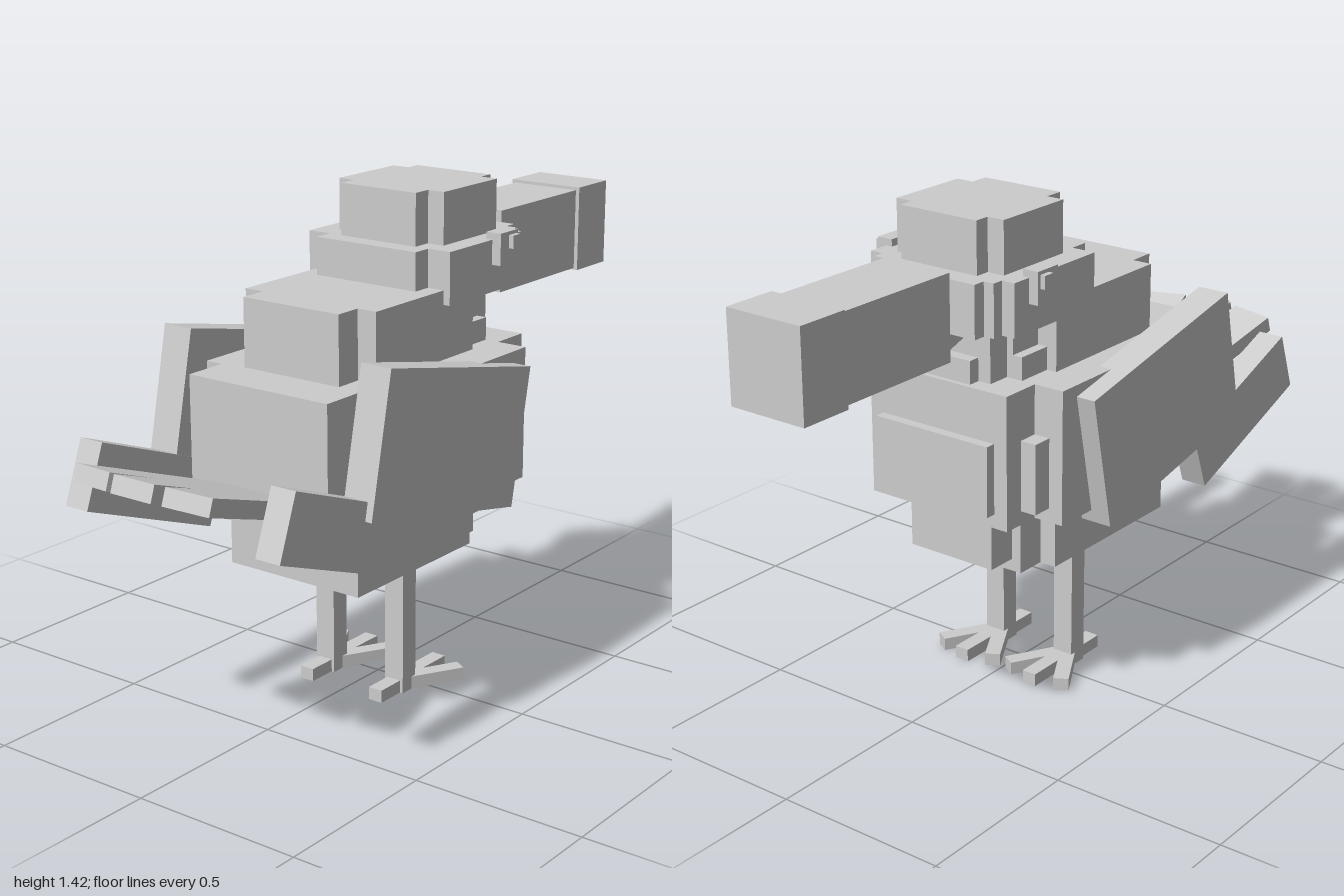
import * as THREE from 'three';

export function createModel() {
  const model = new THREE.Group();
  model.name = 'blockBird';
  const grey = new THREE.MeshStandardMaterial({ color: 0xcccccc, flatShading: true });
  grey.name = 'light grey';

  // Box from its limits on each axis
  function block(name, x0, x1, y0, y1, z0, z1, parent = model) {
    const mesh = new THREE.Mesh(new THREE.BoxGeometry(x1 - x0, y1 - y0, z1 - z0), grey);
    mesh.position.set((x0 + x1) / 2, (y0 + y1) / 2, (z0 + z1) / 2);
    mesh.name = name;
    parent.add(mesh);
    return mesh;
  }
  // Box centred on x = 0 with half width w
  const centred = (name, w, y0, y1, z0, z1) => block(name, -w, w, y0, y1, z0, z1);
  // Box placed by its centre, pitched so that its +z end rises
  function tilted(name, size, pos, degrees) {
    const mesh = new THREE.Mesh(new THREE.BoxGeometry(...size), grey);
    mesh.position.set(...pos);
    mesh.rotation.x = -THREE.MathUtils.degToRad(degrees);
    mesh.name = name;
    model.add(mesh);
  }

  // Lower body
  centred('belly', 0.22, 0.4, 0.6, -0.14, 0.38);
  centred('bellyFront', 0.17, 0.4, 0.6, -0.23, 0);
  centred('bellyPlate', 0.14, 0.435, 0.6, -0.32, 0);

  // Middle body
  centred('bodyCore', 0.232, 0.59, 0.97, -0.37, 0.52);
  centred('bodySides', 0.323, 0.59, 0.97, -0.25, 0.39);
  centred('chestPlate', 0.19, 0.63, 0.83, -0.4, -0.3);
  centred('chestStrips', 0.28, 0.63, 0.83, -0.31, -0.2);

  // Upper body
  centred('shoulders', 0.22, 0.96, 1.163, -0.14, 0.3);
  centred('shoulderBack', 0.16, 0.96, 1.163, -0.25, 0.38);
  centred('neck', 0.14, 0.96, 1.14, -0.32, 0);
  centred('collar', 0.19, 0.96, 1.035, -0.25, 0);
  centred('collarFront', 0.1, 0.96, 1.035, -0.355, 0);

  // Head and crown
  centred('headCore', 0.168, 1.123, 1.27, -0.418, 0.057);
  centred('headMiddle', 0.2, 1.123, 1.27, -0.38, 0);
  centred('headSides', 0.24, 1.123, 1.27, -0.347, 0);
  centred('crownCore', 0.126, 1.26, 1.416, -0.355, 0);
  centred('crownSides', 0.178, 1.26, 1.416, -0.31, -0.057);

  // Beak with a flared root and a thicker tip
  const root = centred('beakRoot', 0.08, 1.065, 1.24, -0.445, -0.34);
  const p = root.geometry.attributes.position;
  for (let i = 0; i < p.count; i++) if (p.getZ(i) > 0) p.setY(i, p.getY(i) * 0.6);
  root.geometry.computeVertexNormals();
  centred('beak', 0.108, 1.058, 1.297, -0.85, -0.443);
  centred('beakTip', 0.12, 1.053, 1.306, -1, -0.845);

  // Tail of three spread feathers
  const tail = new THREE.Group();
  tail.name = 'tail';
  tail.position.set(0, 0.632, 0.5);
  tail.rotation.x = -THREE.MathUtils.degToRad(19);
  model.add(tail);
  for (const side of [-1, 0, 1]) {
    const feather = new THREE.Group();
    feather.name = 'tailFeather';
    feather.position.x = side * 0.067;
    feather.rotation.y = side * 0.18;
    tail.add(feather);
    block('featherBlade', -0.067, 0.067, 0, 0.048, -0.1, side ? 0.51 : 0.525, feather);
  }

  for (const s of [-1, 1]) {
    const label = s > 0 ? 'left' : 'right';
    const sided = (name, x0, x1, ...rest) =>
      block(label + name, Math.min(s * x0, s * x1), Math.max(s * x0, s * x1), ...rest);

    // Eyes
    sided('Eye', 0.22, 0.268, 1.2, 1.29, -0.285, -0.2);
    sided('Pupil', 0.26, 0.283, 1.243, 1.28, -0.275, -0.24);

    // Wings
    tilted(label + 'Wing', [0.094, 0.393, 0.652], [s * 0.333, 0.8125, 0.171], 11.9);
    tilted(label + 'WingTip', [0.077, 0.182, 0.5], [s * 0.321, 0.67, 0.6], 20.5);

    // Legs and feet
    sided('Leg', 0.092, 0.155, 0, 0.42, 0.03, 0.09);
    const foot = new THREE.Group();
    foot.name = label + 'Foot';
    foot.position.set(s * 0.123, 0, 0.06);
    model.add(foot);
    block('backToe', -0.022, 0.022, 0, 0.037, 0, 0.117, foot);
    for (const spread of [-1, 0, 1]) {
      const toe = block('frontToe', -0.022, 0.022, 0, 0.037, -0.19, 0, foot);
      toe.geometry.translate(0, 0, -0.095);
      toe.position.z = 0;
      toe.rotation.y = spread * 0.52;
    }
  }
  return model;
}
